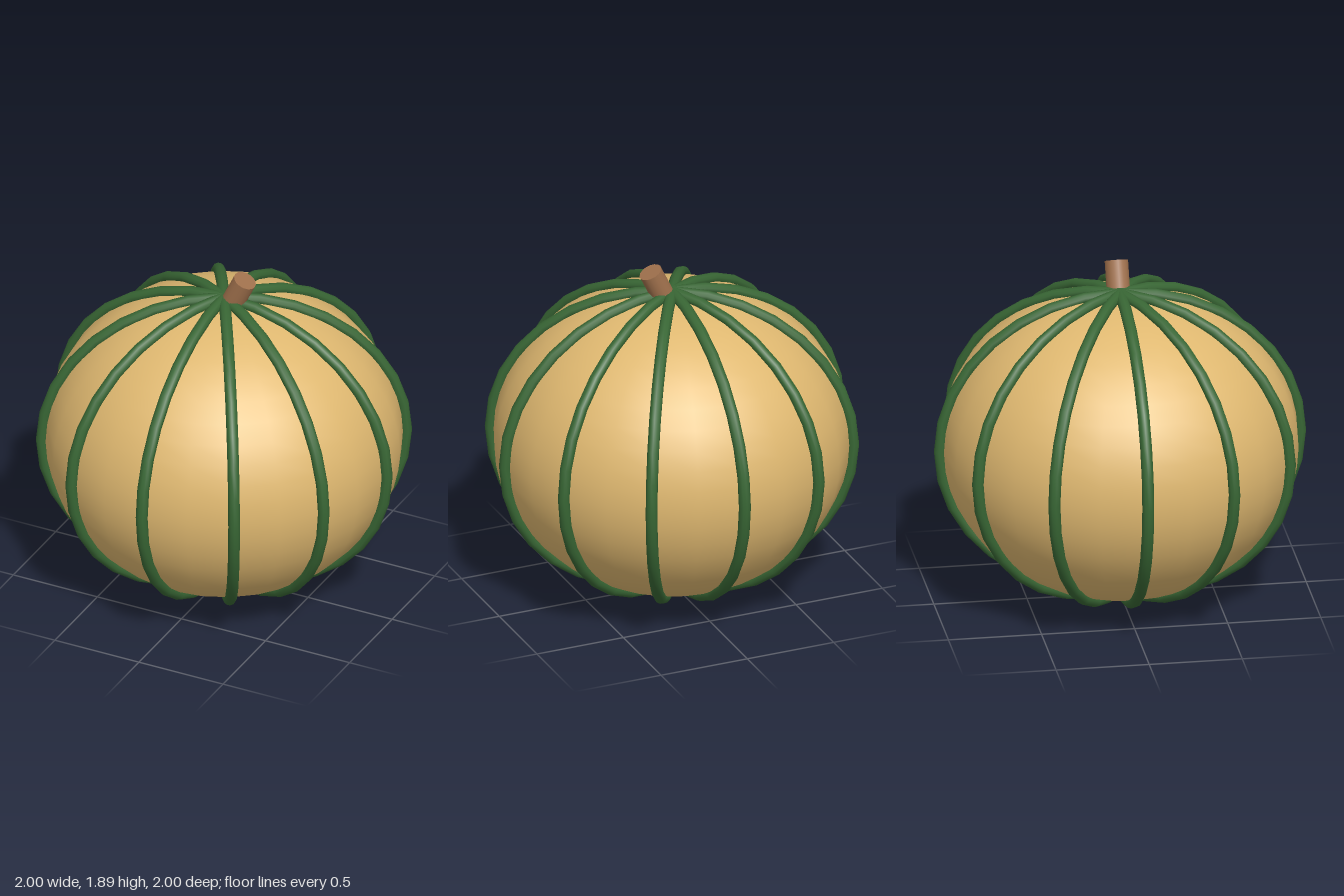
import * as THREE from 'three';

const mat = (name, color) => {
  const m = new THREE.MeshStandardMaterial({ color });
  m.name = name;
  return m;
};

export function createModel() {
  const group = new THREE.Group();
  const tan = mat('tan rind', 0xdfb870);
  const green = mat('green vine', 0x386634);
  const brown = mat('brown stem', 0x9f704c);

  const squash = 0.876; // height relative to width
  const midY = 0.878;

  const add = (name, geometry, material) => {
    const mesh = new THREE.Mesh(geometry, material);
    mesh.name = name;
    group.add(mesh);
    return mesh;
  };

  // Squashed round body
  const body = add('body', new THREE.SphereGeometry(0.953, 24, 24), tan);
  body.scale.y = squash;
  body.position.y = midY;

  // Six upright rings make twelve ribs
  const ringGeometry = new THREE.TorusGeometry(0.968, 0.032, 10, 32);
  for (let i = 0; i < 6; i++) {
    const ring = add('rib' + (i + 1), ringGeometry, green);
    ring.scale.y = squash;
    ring.position.y = midY;
    ring.rotation.y = (i * Math.PI) / 6;
  }

  // Leaning stem
  const lean = 0.45;
  const length = 0.25;
  const stem = add('stem', new THREE.CylinderGeometry(0.063, 0.063, length, 16), brown);
  stem.rotation.z = -lean;
  stem.position.set(
    0.125 - (Math.sin(lean) * length) / 2,
    1.862 - (Math.cos(lean) * length) / 2,
    0
  );

  return group;
}
